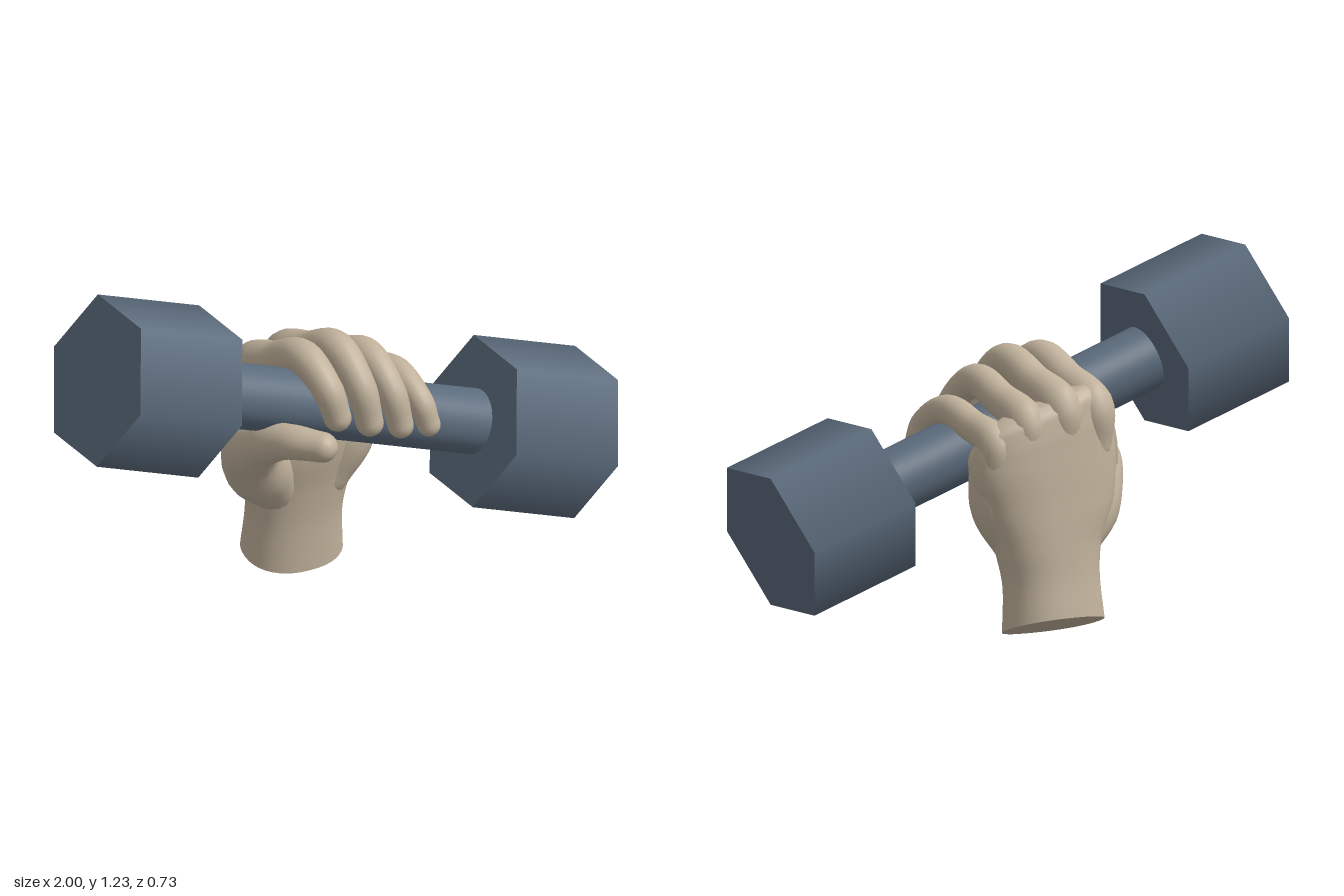
import * as THREE from 'three';

const steel = new THREE.MeshStandardMaterial({ color: 0x5b6b7c });
const skin = new THREE.MeshStandardMaterial({ color: 0xbfb09a });
const V = (x, y, z) => new THREE.Vector3(x, y, z);

function part(name, geometry, material) {
  const mesh = new THREE.Mesh(geometry, material);
  mesh.name = name;
  return mesh;
}

// Skins a list of closed rings (arrays of Vector3) with smooth normals
function loft(rings) {
  const n = rings[0].length, pos = [], idx = [];
  rings.forEach(ring => ring.forEach(p => pos.push(p.x, p.y, p.z)));
  for (let i = 0; i < rings.length - 1; i++) {
    for (let j = 0; j < n; j++) {
      const a = i * n + j, b = i * n + (j + 1) % n;
      idx.push(a, b, b + n, a, b + n, a + n);
    }
  }
  const g = new THREE.BufferGeometry();
  g.setAttribute('position', new THREE.Float32BufferAttribute(pos, 3));
  g.setIndex(idx);
  g.computeVertexNormals();
  return g;
}

// Smooth value along a list of numbers, t from 0 to 1
function along(values, t) {
  const f = t * (values.length - 1), i = Math.min(Math.floor(f), values.length - 2);
  const at = k => values[Math.max(0, Math.min(values.length - 1, k))];
  return THREE.MathUtils.lerp(at(i), at(i + 1), THREE.MathUtils.smoothstep(f - i, 0, 1));
}

// Round-ended limb through points [x, y, z, radius]
function limb(points, sides = 20, steps = 28) {
  const curve = new THREE.CatmullRomCurve3(points.map(p => V(p[0], p[1], p[2])));
  const frames = curve.computeFrenetFrames(steps);
  const radii = points.map(p => p[3]);
  const rings = [];
  const add = (k, shift, scale) => {
    const t = k / steps, r = along(radii, t);
    const c = curve.getPoint(t).addScaledVector(frames.tangents[k], shift * r);
    const ring = [];
    for (let j = 0; j < sides; j++) {
      const a = j / sides * Math.PI * 2;
      ring.push(c.clone()
        .addScaledVector(frames.normals[k], Math.cos(a) * r * scale)
        .addScaledVector(frames.binormals[k], Math.sin(a) * r * scale));
    }
    rings.push(ring);
  };
  // getPoint is used throughout, so take tangents at the same parameter
  for (let k = 0; k <= steps; k++) {
    const t = curve.getTangent(k / steps);
    frames.tangents[k].copy(t);
    frames.normals[k].addScaledVector(t, -frames.normals[k].dot(t)).normalize();
    frames.binormals[k].crossVectors(t, frames.normals[k]);
  }
  for (let i = 0; i < 6; i++) {
    const a = i / 6 * Math.PI / 2;
    add(0, -Math.cos(a), Math.max(0.001, Math.sin(a)));
  }
  for (let k = 0; k <= steps; k++) add(k, 0, 1);
  for (let i = 1; i <= 6; i++) {
    const a = i / 6 * Math.PI / 2;
    add(steps, Math.sin(a), Math.max(0.001, Math.cos(a)));
  }
  return loft(rings);
}

function createDumbbell() {
  const g = new THREE.Group();
  g.name = 'dumbbell';
  const bar = part('handle', new THREE.CylinderGeometry(0.11, 0.11, 1.3, 40), steel);
  bar.rotation.z = Math.PI / 2;
  g.add(bar);
  for (const s of [-1, 1]) {
    const head = part(s < 0 ? 'rightWeight' : 'leftWeight',
      new THREE.CylinderGeometry(0.289, 0.289, 0.411, 6), steel);
    head.rotation.z = Math.PI / 2;
    head.position.x = s * 0.762;
    g.add(head);
  }
  g.position.set(0, 0.68, 0.053);
  g.quaternion.setFromUnitVectors(V(1, 0, 0), V(1.44, -0.5, 0.033).normalize());
  g.rotateX(0.02);
  return g;
}

function createHand() {
  const g = new THREE.Group();
  g.name = 'hand';

  // Wrist and palm sections: centre x, y, z, half width, half depth, slope in x, slope in z
  const sections = [
    [0.005, 0.047, -0.24, 0.18, 0.125, 0, -0.34],
    [0.005, 0.19, -0.227, 0.172, 0.116, 0, -0.2],
    [0.01, 0.32, -0.212, 0.193, 0.118, 0, -0.08],
    [0.0, 0.45, -0.193, 0.245, 0.125, -0.05, 0],
    [0.01, 0.58, -0.187, 0.268, 0.118, -0.12, 0],
    [0.02, 0.68, -0.19, 0.26, 0.104, -0.25, 0],
    [0.025, 0.76, -0.2, 0.235, 0.078, -0.3, 0],
    [0.025, 0.795, -0.205, 0.16, 0.04, -0.3, 0],
    [0.025, 0.8, -0.205, 0.001, 0.001, -0.3, 0],
  ];
  const centre = new THREE.CatmullRomCurve3(sections.map(s => V(s[0], s[1], s[2])));
  const size = new THREE.CatmullRomCurve3(sections.map(s => V(s[3], s[4], 0)));
  const rings = [], sides = 40, steps = 48;
  for (let k = 0; k <= steps; k++) {
    const t = k / steps, c = centre.getPoint(t), h = size.getPoint(t);
    const sx = along(sections.map(s => s[5]), t), sz = along(sections.map(s => s[6]), t);
    const ring = [];
    for (let j = 0; j < sides; j++) {
      const a = j / sides * Math.PI * 2, co = Math.cos(a), si = Math.sin(a);
      const dx = h.x * Math.sign(co) * Math.abs(co) ** 0.9;
      const dz = -h.y * Math.sign(si) * Math.abs(si) ** 0.9;
      ring.push(V(c.x + dx, c.y + sx * dx + sz * dz, c.z + dz));
    }
    rings.push(ring);
  }
  g.add(part('palm', loft(rings), skin));

  // Flat end of the wrist
  const rim = rings[0], mid = V(0.005, 0.047, -0.24);
  g.add(part('wristEnd', loft([rim.map(() => mid), rim]), skin));

  // Fingers: name, knuckle x, y, z, middle joint x, y, tip x, y, thickness
  const fingers = [
    ['indexFinger', -0.165, 0.765, -0.215, -0.13, 0.895, -0.088, 0.725, 0.06],
    ['middleFinger', -0.035, 0.772, -0.222, 0.0, 0.895, 0.037, 0.675, 0.06],
    ['ringFinger', 0.1, 0.735, -0.215, 0.12, 0.84, 0.157, 0.635, 0.056],
    ['littleFinger', 0.212, 0.67, -0.2, 0.232, 0.75, 0.266, 0.61, 0.051],
  ];
  for (const [name, kx, ky, kz, px, py, tx, ty, r] of fingers) {
    const mix = (a, b, t) => a + (b - a) * t;
    g.add(part(name, limb([
      [kx, ky - 0.13, kz, r * 1.05],
      [kx, ky, kz, r * 1.18],
      [mix(kx, px, 0.5), mix(ky, py, 0.55), -0.08, r * 1.04],
      [px, py, 0.055, r],
      [mix(px, tx, 0.45), mix(py, ty, 0.42), 0.18, r * 0.88],
      [tx, ty, 0.208, r * 0.78],
    ]), skin));
  }

  // Thumb with its fleshy base, and the web toward the index knuckle
  g.add(part('thumb', limb([
    [-0.08, 0.3, -0.2, 0.09],
    [-0.185, 0.42, -0.14, 0.112],
    [-0.265, 0.54, -0.055, 0.098],
    [-0.285, 0.63, 0.08, 0.074],
    [-0.265, 0.675, 0.195, 0.06],
    [-0.2, 0.68, 0.295, 0.052],
  ]), skin));
  g.add(part('thumbWeb', limb([
    [-0.25, 0.52, -0.07, 0.09],
    [-0.215, 0.61, -0.13, 0.085],
    [-0.165, 0.73, -0.2, 0.075],
  ]), skin));
  // Heel of the hand below the little finger
  g.add(part('palmHeel', limb([
    [0.1, 0.32, -0.19, 0.09],
    [0.165, 0.45, -0.165, 0.1],
    [0.195, 0.6, -0.17, 0.085],
  ]), skin));
  return g;
}

export function createModel() {
  const model = new THREE.Group();
  model.name = 'handHoldingDumbbell';
  model.add(createDumbbell(), createHand());
  return model;
}
